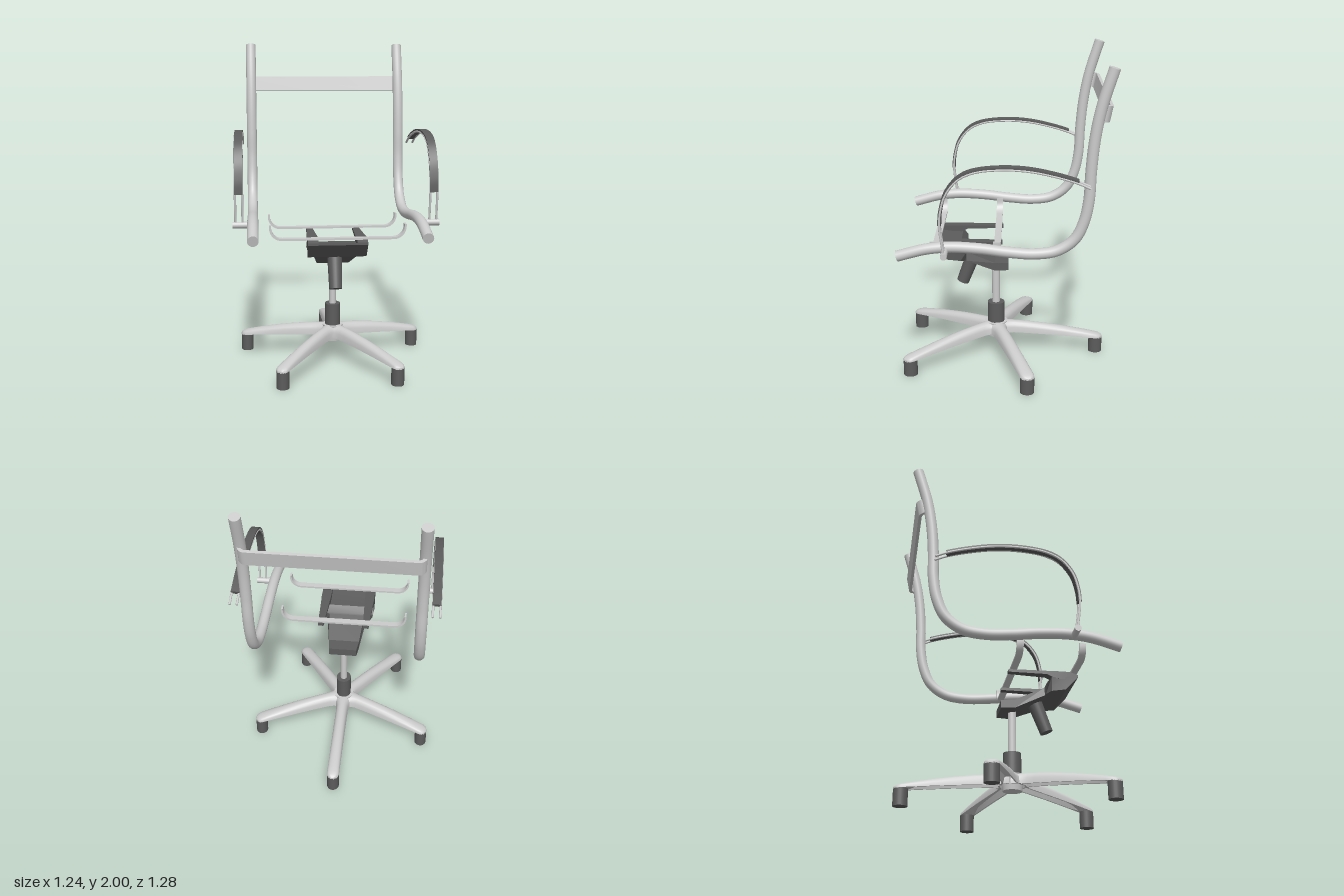
import * as THREE from 'three';
import { toCreasedNormals } from 'three/addons/utils/BufferGeometryUtils.js';

const grey = new THREE.MeshStandardMaterial({ color: 0xcccccc, side: THREE.DoubleSide });
const dark = new THREE.MeshStandardMaterial({ color: 0x5c5c5c, side: THREE.DoubleSide });
const V3 = (x, y, z) => new THREE.Vector3(x, y, z);
const V2 = (x, y) => new THREE.Vector2(x, y);

function add(parent, name, geometry, material) {
  const mesh = new THREE.Mesh(geometry, material);
  mesh.name = name;
  parent.add(mesh);
  return mesh;
}

// Round bar following [z, y] points at a fixed x
function bar(points, x, radius, segments, sides) {
  const curve = new THREE.CatmullRomCurve3(points.map(([z, y]) => V3(x, y, z)));
  const tube = new THREE.TubeGeometry(curve, segments, radius, sides);
  const group = new THREE.Group();
  add(group, 'tube', tube, grey);
  for (const t of [0, 1]) {
    const cap = add(group, 'endCap', new THREE.CircleGeometry(radius, sides), grey);
    cap.position.copy(curve.getPointAt(t));
    cap.lookAt(cap.position.clone().addScaledVector(curve.getTangentAt(t), t ? 1 : -1));
  }
  return group;
}

// Flat strip: a 2D path thickened, then extruded across its width
function strip(path, thickness, width) {
  const side = (s) => path.map((p, i) => {
    const d = path[Math.min(i + 1, path.length - 1)].clone().sub(path[Math.max(i - 1, 0)]).normalize();
    return V2(p.x - d.y * s * thickness / 2, p.y + d.x * s * thickness / 2);
  });
  const shape = new THREE.Shape([...side(-1), ...side(1).reverse()]);
  const geo = new THREE.ExtrudeGeometry(shape, { depth: width, bevelEnabled: false });
  geo.translate(0, 0, -width / 2);
  return toCreasedNormals(geo, 0.6);
}

// U-shaped path: two uprights joined by rounded corners to a flat middle
function uPath(half, height, radius) {
  const right = [V2(half, height)];
  for (let i = 0; i <= 8; i++) {
    const a = i / 8 * Math.PI / 2;
    right.push(V2(half - radius + radius * Math.cos(a), radius - radius * Math.sin(a)));
  }
  return [...right.map((p) => V2(-p.x, p.y)), ...right.reverse()];
}

// Skin a list of equal-sized rings of points, with closed ends
function loft(rings, crease) {
  const n = rings[0].length, index = [];
  for (let i = 0; i < rings.length - 1; i++) {
    for (let j = 0; j < n; j++) {
      const a = i * n + j, b = i * n + (j + 1) % n;
      index.push(a, b, a + n, b, b + n, a + n);
    }
  }
  const last = (rings.length - 1) * n;
  const flat = THREE.ShapeUtils.triangulateShape(rings[0].map((p) => V2(p.x, p.y)), []);
  for (const [a, b, c] of flat) index.push(a, c, b, last + a, last + b, last + c);
  const geo = new THREE.BufferGeometry().setFromPoints(rings.flat());
  geo.setIndex(index);
  return toCreasedNormals(geo, crease);
}

// One leg along +z: arched top, hollow underside, rounded tip
function legGeometry() {
  const length = 0.705, rings = [];
  const stations = [0.03, 0.07, 0.09, 0.12, 0.17, 0.25, 0.35, 0.45, 0.55, 0.62, 0.66, 0.68, 0.695, 0.704];
  for (const r of stations) {
    const t = r / length;
    const over = Math.max(0, (r - 0.66) / 0.045);
    const round = Math.sqrt(Math.max(0.02, 1 - over * over));
    const half = (0.045 + 0.035 * Math.max(0, 1 - (r - 0.03) / 0.1) ** 2) * round;
    const bottom = 0.15 - 0.05 * t ** 1.4;
    const top = bottom + (0.222 - 0.1 * t ** 1.7 - bottom) * (0.4 + 0.6 * round);
    const depth = r > 0.6 ? 0.003 : (top - bottom) * 0.6;
    const ring = [];
    for (let i = 0; i <= 10; i++) {
      const a = i / 10 * Math.PI;
      ring.push(V3(half * Math.cos(a), bottom + (top - bottom) * Math.sin(a) ** 0.6, r));
    }
    ring.push(V3(-half * 0.8, bottom, r), V3(-half * 0.6, bottom + depth, r),
      V3(half * 0.6, bottom + depth, r), V3(half * 0.8, bottom, r));
    rings.push(ring);
  }
  return loft(rings, 0.7);
}

export function createModel() {
  const model = new THREE.Group();
  model.name = 'officeChairFrame';

  // Five-leg base with feet, slightly narrower across than deep
  const base = new THREE.Group();
  base.name = 'base';
  base.position.z = 0.062;
  base.scale.x = 0.87;
  model.add(base);
  const legGeo = legGeometry();
  for (let i = 0; i < 5; i++) {
    const leg = new THREE.Group();
    leg.name = 'leg';
    leg.rotation.y = Math.PI + i * Math.PI * 2 / 5;
    add(leg, 'legArm', legGeo, grey);
    add(leg, 'foot', new THREE.CylinderGeometry(0.044, 0.044, 0.105, 24), dark).position.set(0, 0.0525, 0.66);
    base.add(leg);
  }
  add(base, 'hub', new THREE.CylinderGeometry(0.075, 0.06, 0.1, 24), grey).position.y = 0.168;
  add(base, 'columnSleeve', new THREE.CylinderGeometry(0.055, 0.055, 0.15, 32), dark).position.y = 0.28;
  add(base, 'column', new THREE.CylinderGeometry(0.025, 0.025, 0.32, 24), grey).position.y = 0.48;

  // Tilt mechanism: [z, half top, y top, half bottom, y bottom], back to front
  const sections = [
    [-0.02, 0.09, 0.663, 0.09, 0.615], [0.065, 0.1, 0.668, 0.1, 0.615],
    [0.245, 0.118, 0.75, 0.13, 0.695], [0.25, 0.178, 0.76, 0.14, 0.7],
    [0.28, 0.178, 0.8, 0.17, 0.71], [0.366, 0.178, 0.805, 0.178, 0.722], [0.445, 0.178, 0.82, 0.178, 0.808],
  ];
  add(model, 'tiltMechanism', loft(sections.map(([z, ht, yt, hb, yb]) =>
    [V3(ht, yt, z), V3(-ht, yt, z), V3(-hb, yb, z), V3(hb, yb, z)]), 0.2), dark);

  // Tension knob under the mechanism
  const knob = add(model, 'tensionKnob', new THREE.CylinderGeometry(0.046, 0.04, 0.2, 24), dark);
  knob.position.set(0, 0.595, 0.242);
  knob.rotation.x = -0.36;

  // Seat supports across the mechanism
  for (const z of [0.045, 0.423]) {
    add(model, 'seatStrap', strip(uPath(0.4, 0.085, 0.07), 0.012, 0.042), grey).position.set(0, 0.845, z);
  }

  // Upper back crossbar, ends curling forward into the rails
  const cross = strip(uPath(0.5, 0.045, 0.035), 0.02, 0.095);
  cross.rotateX(Math.PI / 2);
  const crossbar = add(model, 'backCrossbar', cross, grey);
  crossbar.position.set(0, 1.73, -0.59);
  crossbar.rotation.x = -0.2;

  const railPath = [[0.63, 0.877], [0.455, 0.923], [0.32, 0.936], [0.14, 0.927], [-0.02, 0.907], [-0.18, 0.897],
    [-0.31, 0.918], [-0.41, 0.99], [-0.462, 1.1], [-0.487, 1.236], [-0.493, 1.395], [-0.508, 1.58],
    [-0.54, 1.767], [-0.605, 1.99]];
  const armPath = [[0.345, 0.92], [0.366, 1.1], [0.36, 1.18], [0.33, 1.285], [0.26, 1.375], [0.165, 1.42],
    [0.005, 1.437], [-0.154, 1.427], [-0.313, 1.393], [-0.42, 1.36], [-0.488, 1.33]];
  const padCurve = new THREE.SplineCurve(armPath.slice(1, -1).map(([z, y]) => V2(z, y)));

  for (const s of [-1, 1]) {
    // Mechanism arm, wide at the front and narrow at the back
    const arm = [[0.015, 0.128, 0.165, 0.822], [0.25, 0.118, 0.174, 0.818], [0.31, 0.115, 0.178, 0.79],
      [0.395, 0.115, 0.178, 0.79], [0.444, 0.115, 0.178, 0.81]];
    add(model, 'mechanismArm', loft(arm.map(([z, a, b, y]) => {
      const lo = s > 0 ? a : -b, hi = s > 0 ? b : -a, top = z > 0.4 ? 0.822 : 0.84;
      return [V3(hi, top, z), V3(lo, top, z), V3(lo, y, z), V3(hi, y, z)];
    }), 0.2), dark);

    // Side rail running from seat front to back top
    const rail = bar(railPath, s * 0.5, 0.033, 90, 20);
    rail.name = 'sideRail';
    model.add(rail);

    // Armrest: two wires, a pad strip over them, and a pivot pin
    const armrest = new THREE.Group();
    armrest.name = 'armrest';
    for (const x of [0.56, 0.602]) {
      const wire = bar(armPath, s * x, 0.007, 60, 8);
      wire.name = 'armWire';
      armrest.add(wire);
    }
    const pad = strip(padCurve.getSpacedPoints(48).map((p) => p.clone()), 0.02, 0.05);
    pad.rotateY(-Math.PI / 2);
    add(armrest, 'armPad', pad, dark).position.set(s * 0.581, 0.006, 0);
    const pin = add(armrest, 'armPivot', new THREE.CylinderGeometry(0.02, 0.02, 0.12, 20), grey);
    pin.rotation.z = Math.PI / 2;
    pin.position.set(s * 0.56, 0.92, 0.345);
    model.add(armrest);
  }
  return model;
}
